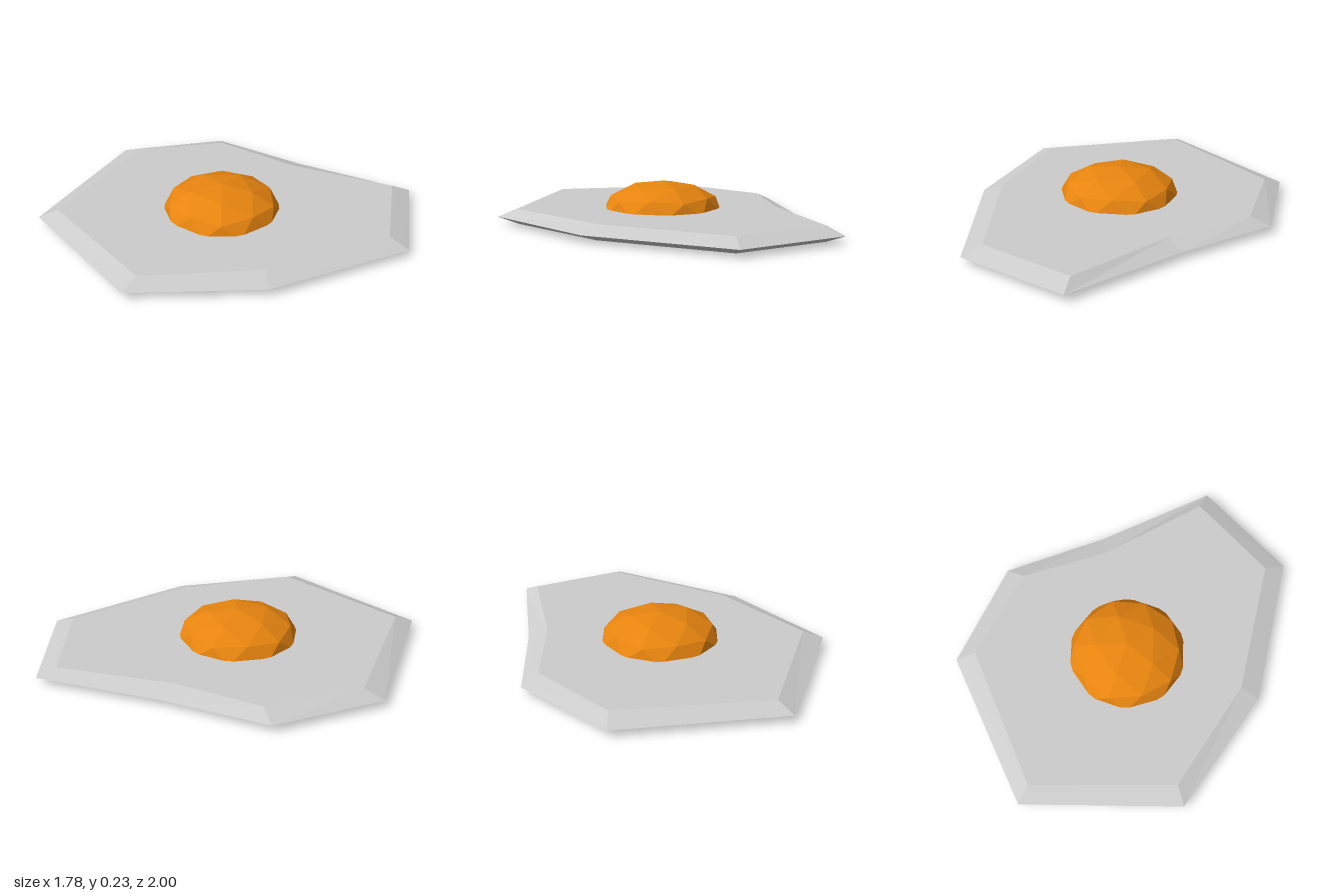
import * as THREE from 'three';

// Outline of the egg white: outer rim x, z and inset x, z at each corner
const CORNERS = [
  [0.275, -1.0, 0.275, -0.885],
  [-0.63, -0.86, -0.555, -0.78],
  [-0.895, 0.0, -0.78, 0.0],
  [-0.43, 0.585, -0.35, 0.505],
  [0.31, 0.995, 0.31, 0.875],
  [0.89, 0.705, 0.81, 0.63],
  [0.78, 0.0, 0.67, 0.0],
  [0.74, -0.585, 0.66, -0.505],
];
const THICKNESS = 0.084;

// Flat slab with a pointed rim, skinned from three stacked rings
function eggWhiteGeometry() {
  const inset = (y) => CORNERS.map(([, , x, z]) => [x, y, z]);
  const rings = [
    inset(0),
    CORNERS.map(([x, z]) => [x, THICKNESS / 2, z]),
    inset(THICKNESS),
  ];
  const positions = [];
  const triangle = (a, b, c) => positions.push(...a, ...b, ...c);
  const n = CORNERS.length;
  for (let i = 0; i < n; i++) {
    const j = (i + 1) % n;
    // sloping rim
    for (let k = 0; k < 2; k++) {
      triangle(rings[k][i], rings[k][j], rings[k + 1][j]);
      triangle(rings[k][i], rings[k + 1][j], rings[k + 1][i]);
    }
    // top and bottom
    triangle([0, THICKNESS, 0], rings[2][i], rings[2][j]);
    triangle([0, 0, 0], rings[0][j], rings[0][i]);
  }
  const geometry = new THREE.BufferGeometry();
  geometry.setAttribute('position', new THREE.Float32BufferAttribute(positions, 3));
  geometry.computeVertexNormals();
  return geometry;
}

// Squashed faceted dome with a corner at its peak and a flat base
function yolkGeometry() {
  const geometry = new THREE.IcosahedronGeometry(1, 1);
  geometry.rotateZ(Math.atan(2 / (1 + Math.sqrt(5))));
  geometry.rotateY(Math.PI);
  const p = geometry.attributes.position;
  for (let i = 0; i < p.count; i++) p.setY(i, Math.max(p.getY(i), 0));
  geometry.scale(0.343, 0.168, 0.343);
  geometry.computeVertexNormals();
  return geometry;
}

export function createModel() {
  const white = new THREE.MeshStandardMaterial({ color: 0xcccccc, flatShading: true });
  white.name = 'egg white';
  const orange = new THREE.MeshStandardMaterial({ color: 0xe8850f, flatShading: true });
  orange.name = 'yolk orange';

  const eggWhite = new THREE.Mesh(eggWhiteGeometry(), white);
  eggWhite.name = 'eggWhite';

  const yolk = new THREE.Mesh(yolkGeometry(), orange);
  yolk.name = 'yolk';
  yolk.position.set(0.03, 0.062, -0.052);

  const group = new THREE.Group();
  group.name = 'friedEgg';
  group.add(eggWhite, yolk);
  return group;
}
